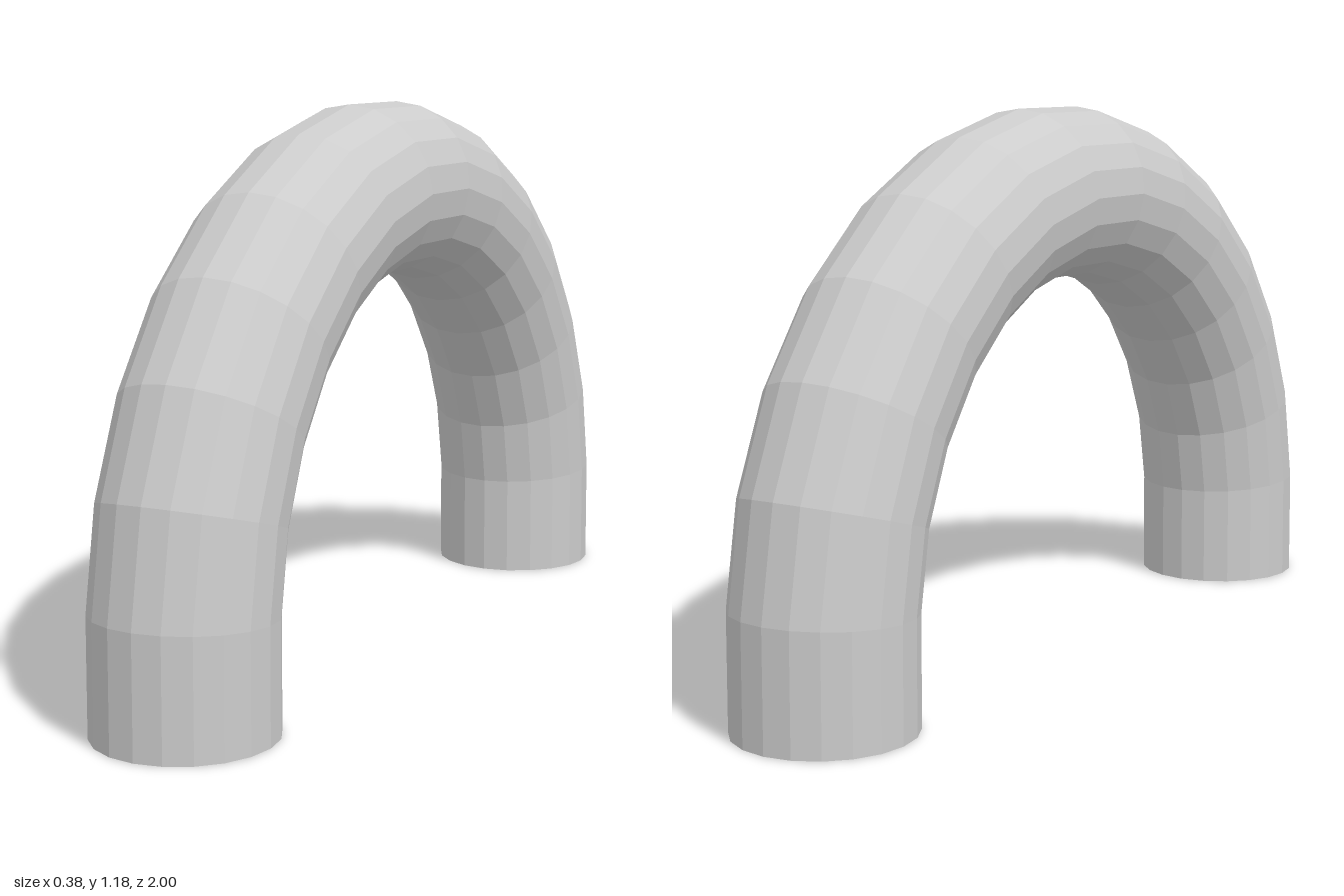
import * as THREE from 'three';

const TUBE = 0.1875;   // tube radius
const BEND = 0.8125;   // radius of the bend's centre line
const LEG = 0.19;      // height of the bend's centre
const SEGMENTS = 15;   // two straight legs and 13 bend segments
const STEP = THREE.MathUtils.degToRad(40 / 3);

// A capped 20-sided cylinder whose rings are swung over into an arch.
function archGeometry() {
  const geometry = new THREE.CylinderGeometry(TUBE, TUBE, SEGMENTS, 20, SEGMENTS);
  const pos = geometry.attributes.position;
  for (let i = 0; i < pos.count; i++) {
    const ring = Math.round(pos.getY(i) + SEGMENTS / 2);
    const radius = BEND + pos.getZ(i);
    if (ring === 0 || ring === SEGMENTS) {
      // feet lie flat on the ground
      pos.setXYZ(i, pos.getX(i), 0, ring === 0 ? radius : -radius);
    } else {
      const angle = Math.PI / 2 + (ring - SEGMENTS / 2) * STEP;
      pos.setXYZ(i, pos.getX(i), LEG + radius * Math.sin(angle), radius * Math.cos(angle));
    }
  }
  geometry.computeVertexNormals();
  return geometry;
}

export function createModel() {
  const group = new THREE.Group();
  group.name = 'archedPipe';
  const material = new THREE.MeshStandardMaterial({ color: 0xcccccc, flatShading: true });
  const arch = new THREE.Mesh(archGeometry(), material);
  arch.name = 'pipe';
  group.add(arch);
  return group;
}
